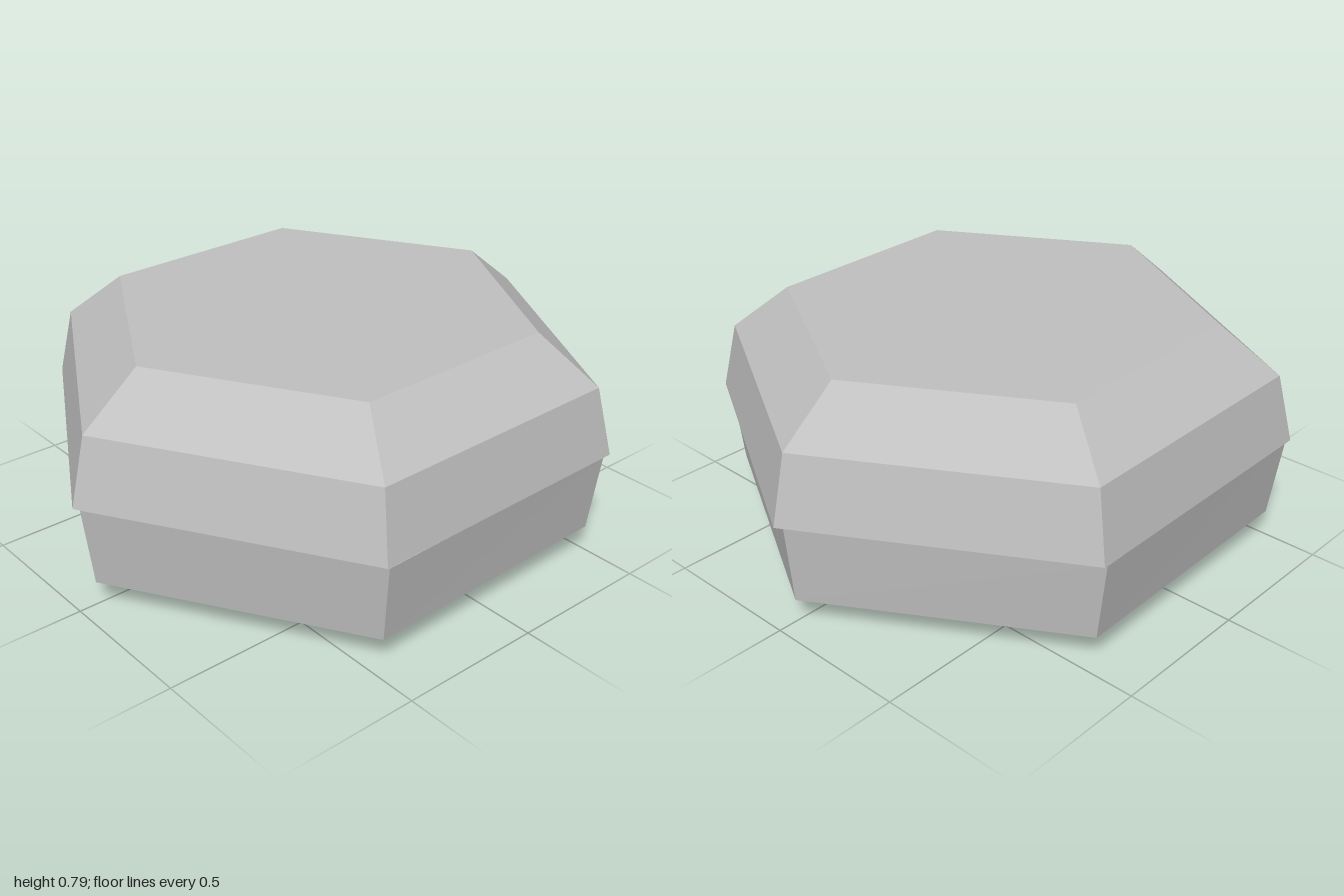
import * as THREE from 'three';

const SIDES = 6;

// Closed faceted solid from stacked hexagonal rings, listed bottom to top:
// [y, radius, turn in degrees, centre x, depth scale]
function facetedSolid(rings) {
  const point = ([y, r, turn, cx = 0, depth = 1], j) => {
    const a = (j / SIDES) * Math.PI * 2 - THREE.MathUtils.degToRad(turn);
    return [cx + r * Math.cos(a), y, r * depth * Math.sin(a)];
  };
  const positions = [];
  const triangle = (...corners) => corners.forEach((c) => positions.push(...c));
  const bottom = rings[0];
  const top = rings[rings.length - 1];

  for (let j = 0; j < SIDES; j++) {
    // side bands
    for (let i = 0; i < rings.length - 1; i++) {
      const a = point(rings[i], j), b = point(rings[i], j + 1);
      const c = point(rings[i + 1], j), d = point(rings[i + 1], j + 1);
      triangle(a, c, b);
      triangle(b, c, d);
    }
    // end caps
    triangle([bottom[3] ?? 0, bottom[0], 0], point(bottom, j), point(bottom, j + 1));
    triangle([top[3] ?? 0, top[0], 0], point(top, j + 1), point(top, j));
  }

  const geometry = new THREE.BufferGeometry();
  geometry.setAttribute('position', new THREE.Float32BufferAttribute(positions, 3));
  geometry.computeVertexNormals();
  return geometry;
}

export function createModel() {
  const group = new THREE.Group();
  group.name = 'hexagonalCase';

  const grey = new THREE.MeshStandardMaterial({ color: 0xc0c0c0 });
  grey.name = 'light grey';
  grey.flatShading = true;

  // Lower shell, slightly narrower and twisted under the lid
  const base = new THREE.Mesh(facetedSolid([
    [0, 0.737, 0.8],
    [0.097, 0.945, 1.2],
    [0.378, 0.976, 1.3, -0.004, 1.01],
  ]), grey);
  base.name = 'base';

  // Upper shell, separated from the base by a thin gap
  const lid = new THREE.Mesh(facetedSolid([
    [0.388, 1, 0.8],
    [0.623, 0.943, 0.8],
    [0.787, 0.737, 0.8],
  ]), grey);
  lid.name = 'lid';

  group.add(base, lid);
  return group;
}
